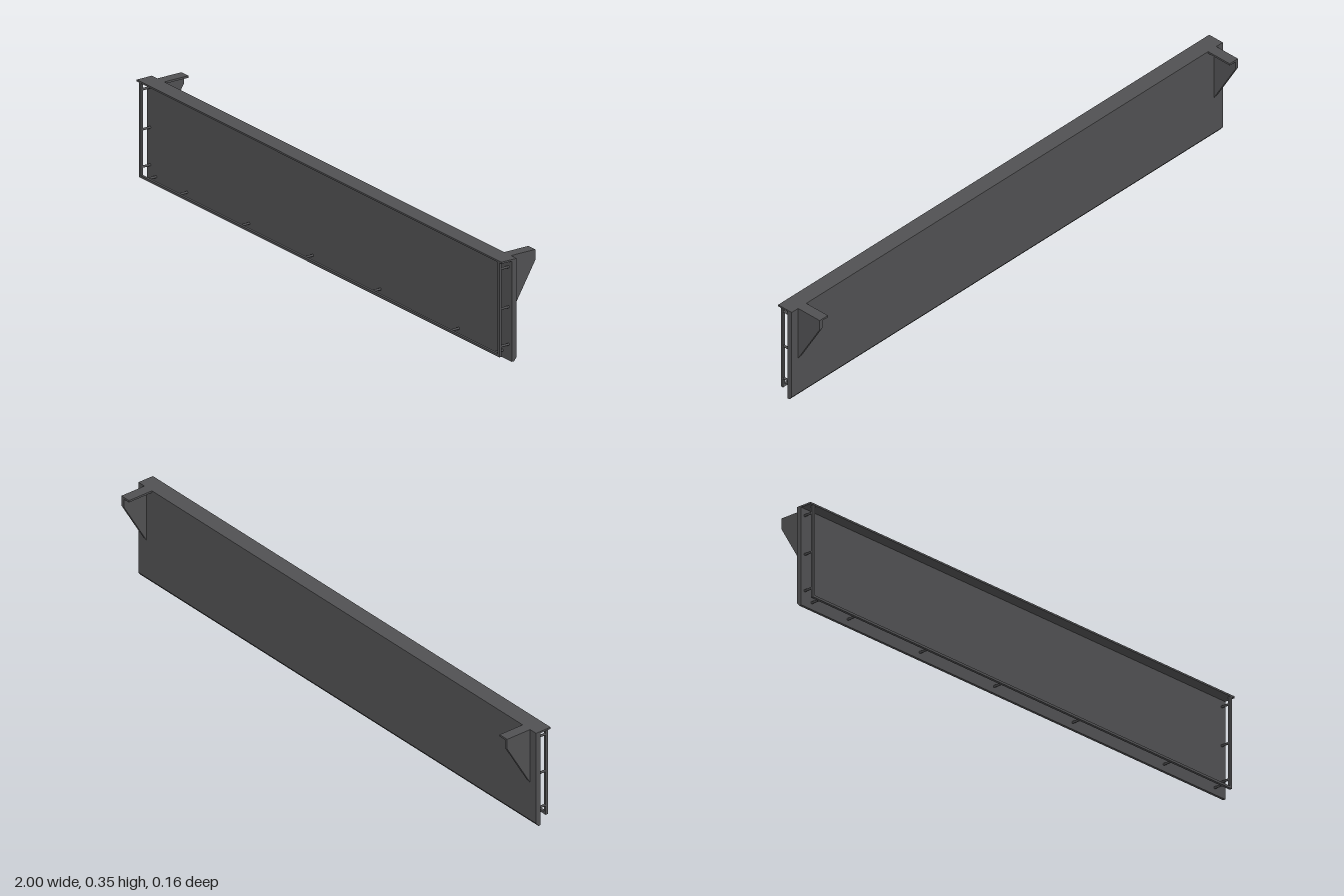
import * as THREE from 'three';

export function createModel() {
  const group = new THREE.Group();
  const steel = new THREE.MeshStandardMaterial({ color: 0x505052 });
  steel.name = 'dark steel';

  const add = (name, geometry, x = 0, y = 0, z = 0) => {
    const mesh = new THREE.Mesh(geometry, steel);
    mesh.name = name;
    mesh.position.set(x, y, z);
    group.add(mesh);
    return mesh;
  };
  const box = (name, w, h, d, x, y, z) => add(name, new THREE.BoxGeometry(w, h, d), x, y, z);

  // Extrudes a side profile of [z, y] points along x, centred on x
  const profile = (name, points, width, x = 0) => {
    const shape = new THREE.Shape(points.map(([z, y]) => new THREE.Vector2(-z, y)));
    const geometry = new THREE.ExtrudeGeometry(shape, { depth: width, bevelEnabled: false });
    geometry.translate(0, 0, -width / 2);
    geometry.rotateY(Math.PI / 2);
    return add(name, geometry, x);
  };

  // Round standoff running front to back between board and rail
  const standoff = (x, y) => {
    const geometry = new THREE.CylinderGeometry(0.004, 0.004, 0.034, 10);
    geometry.rotateX(Math.PI / 2);
    add('standoff', geometry, x, y, 0.053);
  };

  // Board with a chamfered lower back edge
  profile('board', [[0.037, 0], [0.028, 0], [0.018, 0.013], [0.018, 0.35], [0.037, 0.35]], 2);

  // Top lip over the rail
  box('topLip', 2, 0.006, 0.041, 0, 0.347, 0.0575);

  // Thin rail around the sides and bottom
  box('bottomRail', 1.96, 0.008, 0.009, 0, 0.024, 0.0725);
  for (const x of [-0.95, -0.78, -0.44, -0.09, 0.28, 0.71, 0.95]) standoff(x, 0.024);

  for (const side of [-1, 1]) {
    box('sideRail', 0.009, 0.325, 0.009, side * 0.983, 0.1825, 0.0725);
    for (const y of [0.055, 0.183, 0.32]) standoff(side * 0.983, y);

    // Rear hanging bracket: gusset plate with a top flange and an end lip
    profile('bracketGusset', [[0.018, 0.152], [-0.077, 0.314], [-0.077, 0.35], [0.018, 0.35]], 0.012, side * 0.964);
    box('bracketFlange', 0.038, 0.007, 0.095, side * 0.951, 0.3465, -0.0295);
  }
  return group;
}
